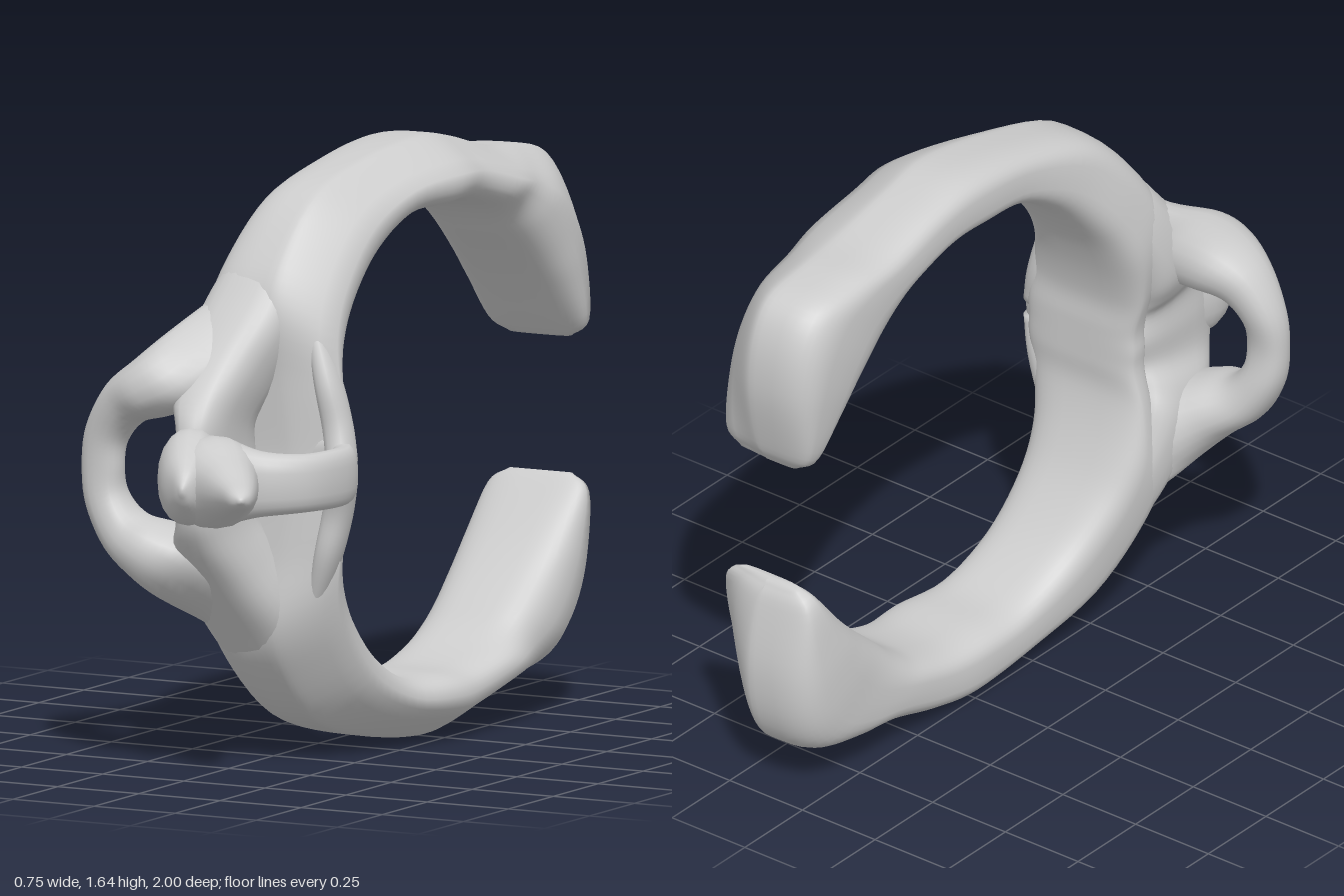
import * as THREE from 'three';
import { mergeVertices } from 'three/addons/utils/BufferGeometryUtils.js';

const MID = 0.82; // height of the mirror plane
const V = (x, y, z) => new THREE.Vector3(x, y, z);
const spow = (v, e) => Math.sign(v) * Math.pow(Math.abs(v), e);

// Smooth closed skin over sections { c: centre, u, v: half axes }
function loft(sections, { sides = 28, steps = 5, power = 1, bevel = 0 } = {}) {
  const curve = key => new THREE.CatmullRomCurve3(sections.map(s => s[key]), false, 'catmullrom', 0.5);
  const C = curve('c'), U = curve('u'), W = curve('v');
  const rows = (sections.length - 1) * steps;
  const pos = [], idx = [];
  for (let i = 0; i <= rows; i++) {
    const t = i / rows, c = C.getPoint(t), u = U.getPoint(t), v = W.getPoint(t);
    for (let j = 0; j < sides; j++) {
      const a = j / sides * Math.PI * 2;
      const p = spow(Math.cos(a), power), q = spow(Math.sin(a), power);
      const pt = c.clone().addScaledVector(u, p).addScaledVector(v, q);
      if (p > 0 && q > 0) pt.x -= bevel * p * q;
      pos.push(pt.x, pt.y, pt.z);
    }
  }
  for (let i = 0; i < rows; i++) for (let j = 0; j < sides; j++) {
    const a = i * sides + j, b = i * sides + (j + 1) % sides;
    idx.push(a, b, a + sides, b, b + sides, a + sides);
  }
  // end caps
  for (const [row, s] of [[0, sections[0]], [rows, sections[sections.length - 1]]]) {
    const k = pos.length / 3;
    pos.push(s.c.x, s.c.y, s.c.z);
    for (let j = 0; j < sides; j++) {
      const a = row * sides + j, b = row * sides + (j + 1) % sides;
      if (row) idx.push(a, b, k); else idx.push(b, a, k);
    }
  }
  // make the faces point outward
  const P = k => V(pos[k * 3], pos[k * 3 + 1], pos[k * 3 + 2]);
  let volume = 0;
  for (let k = 0; k < idx.length; k += 3) volume += P(idx[k]).dot(P(idx[k + 1]).cross(P(idx[k + 2])));
  if (volume < 0) idx.reverse();
  let g = new THREE.BufferGeometry();
  g.setAttribute('position', new THREE.Float32BufferAttribute(pos, 3));
  g.setIndex(idx);
  g = mergeVertices(g, 1e-5);
  g.computeVertexNormals();
  return g;
}

// Band rows: outer z, outer y, inner z, inner y, right x, left x
const bandSection = ([oz, oy, iz, iy, x0, x1]) => ({
  c: V((x0 + x1) / 2, (oy + iy) / 2, (oz + iz) / 2),
  u: V(0, (oy - iy) / 2, (oz - iz) / 2),
  v: V((x1 - x0) / 2, 0, 0),
});

// Upper half down to the middle, then mirrored below
const mirrorRows = rows => rows.concat(rows.slice(0, -1).reverse()
  .map(([oz, oy, iz, iy, x0, x1]) => [oz, 2 * MID - oy, iz, 2 * MID - iy, x0, x1]));

// Strand rows: x, y, z, radius across the path, radius along the axis
function strand(rows, axis, options) {
  const pts = rows.map(r => V(r[0], r[1], r[2]));
  return loft(rows.map((r, i) => {
    const tangent = pts[Math.min(i + 1, pts.length - 1)].clone().sub(pts[Math.max(i - 1, 0)]);
    return {
      c: pts[i],
      u: tangent.cross(axis).normalize().multiplyScalar(r[3]),
      v: axis.clone().multiplyScalar(r[4]),
    };
  }), { sides: 20, power: 0.9, ...options });
}

export function createModel() {
  const group = new THREE.Group();
  const grey = new THREE.MeshStandardMaterial({ color: 0xcccccc });
  grey.name = 'grey';
  const add = (name, geometry) => {
    const mesh = new THREE.Mesh(geometry, grey);
    mesh.name = name;
    group.add(mesh);
  };

  // Open C-shaped band with broad paddle ends
  add('band', loft(mirrorRows([
    [-0.935, 1.01, -0.91, 1.005, 0.08, 0.27],
    [-0.965, 1.07, -0.875, 1.04, 0.02, 0.325],
    [-1.0, 1.25, -0.77, 1.16, -0.01, 0.34],
    [-0.985, 1.41, -0.69, 1.24, -0.02, 0.34],
    [-0.92, 1.51, -0.6, 1.32, -0.02, 0.335],
    [-0.78, 1.545, -0.53, 1.38, -0.02, 0.325],
    [-0.62, 1.56, -0.45, 1.425, -0.02, 0.335],
    [-0.42, 1.615, -0.33, 1.455, -0.02, 0.32],
    [-0.25, 1.64, -0.2, 1.455, -0.025, 0.325],
    [0, 1.61, -0.05, 1.445, -0.03, 0.29],
    [0.24, 1.54, 0.1, 1.36, -0.06, 0.27],
    [0.39, 1.39, 0.22, 1.23, -0.1, 0.26],
    [0.455, 1.25, 0.29, 1.1, -0.12, 0.265],
    [0.44, 1.07, 0.33, 0.97, -0.1, 0.285],
    [0.43, 0.9, 0.33, 0.88, -0.07, 0.3],
    [0.43, MID, 0.33, MID, -0.07, 0.3],
  ]).map(bandSection), { power: 0.6, bevel: 0.12, sides: 40 }));

  // Upright wall that carries both loops and the spike
  add('frontWall', loft(mirrorRows([
    [0.22, 1.53, 0.16, 1.4, 0, 0.11],
    [0.38, 1.385, 0.28, 1.22, -0.09, 0.14],
    [0.475, 1.27, 0.34, 1.1, -0.13, 0.14],
    [0.58, 1.145, 0.38, 1.0, -0.14, 0.1],
    [0.68, 1.03, 0.4, 0.94, -0.11, 0.07],
    [0.73, 0.94, 0.4, 0.89, -0.07, 0.06],
    [0.74, MID, 0.38, MID, -0.07, 0.06],
  ]).map(bandSection), { power: 0.75 }));

  // Upright side loop whose arms sweep up and down into the band
  const upper = [
    [0.03, 1.32, 0.34, 0.05, 0.05],
    [-0.01, 1.2, 0.44, 0.11, 0.08],
    [-0.08, 1.1, 0.54, 0.115, 0.14],
    [-0.17, 1.045, 0.595, 0.09, 0.125],
    [-0.255, 0.995, 0.61, 0.07, 0.085],
    [-0.31, 0.91, 0.615, 0.06, 0.06],
    [-0.32, MID, 0.62, 0.06, 0.05],
  ];
  const lower = upper.slice(0, -1).reverse().map(([x, y, ...r]) => [x, 2 * MID - y, ...r]);
  add('uprightLoop', strand(upper.concat(lower), V(0, 0, 1)));

  // Level loop on the other side
  add('levelLoop', strand([
    [0.0, MID, 0.66, 0.07, 0.1],
    [0.1, MID, 0.71, 0.065, 0.115],
    [0.21, MID, 0.705, 0.058, 0.09],
    [0.3, MID, 0.64, 0.045, 0.08],
    [0.335, MID, 0.53, 0.036, 0.08],
    [0.32, MID, 0.44, 0.04, 0.08],
    [0.26, MID, 0.39, 0.04, 0.09],
    [0.17, MID, 0.385, 0.02, 0.08],
  ], V(0, 1, 0), { power: 0.75 }));

  // Web where the level loop flares into the band, above and below
  for (const s of [1, -1]) add('loopWeb', strand([
    [0.3, MID + s * 0.02, 0.41, 0.04, 0.05],
    [0.275, MID + s * 0.12, 0.39, 0.04, 0.045],
    [0.245, MID + s * 0.24, 0.39, 0.035, 0.045],
    [0.19, MID + s * 0.4, 0.37, 0.02, 0.03],
  ], V(0, 0, 1)));

  // Long front spike and the short one beside it, grown from one body
  add('longSpike', strand([
    [-0.01, MID, 0.64, 0.06, 0.1],
    [0.09, MID, 0.74, 0.12, 0.125],
    [0.18, MID, 0.83, 0.085, 0.085],
    [0.25, MID, 0.91, 0.055, 0.05],
    [0.295, MID, 0.97, 0.033, 0.028],
    [0.313, MID, 0.997, 0.006, 0.006],
  ], V(0, 1, 0)));
  add('shortSpike', strand([
    [-0.01, MID + 0.01, 0.62, 0.05, 0.11],
    [0.01, MID + 0.01, 0.73, 0.085, 0.13],
    [0.05, MID, 0.82, 0.075, 0.105],
    [0.08, MID, 0.89, 0.035, 0.055],
    [0.088, MID, 0.92, 0.006, 0.01],
  ], V(0, 1, 0)));

  return group;
}
